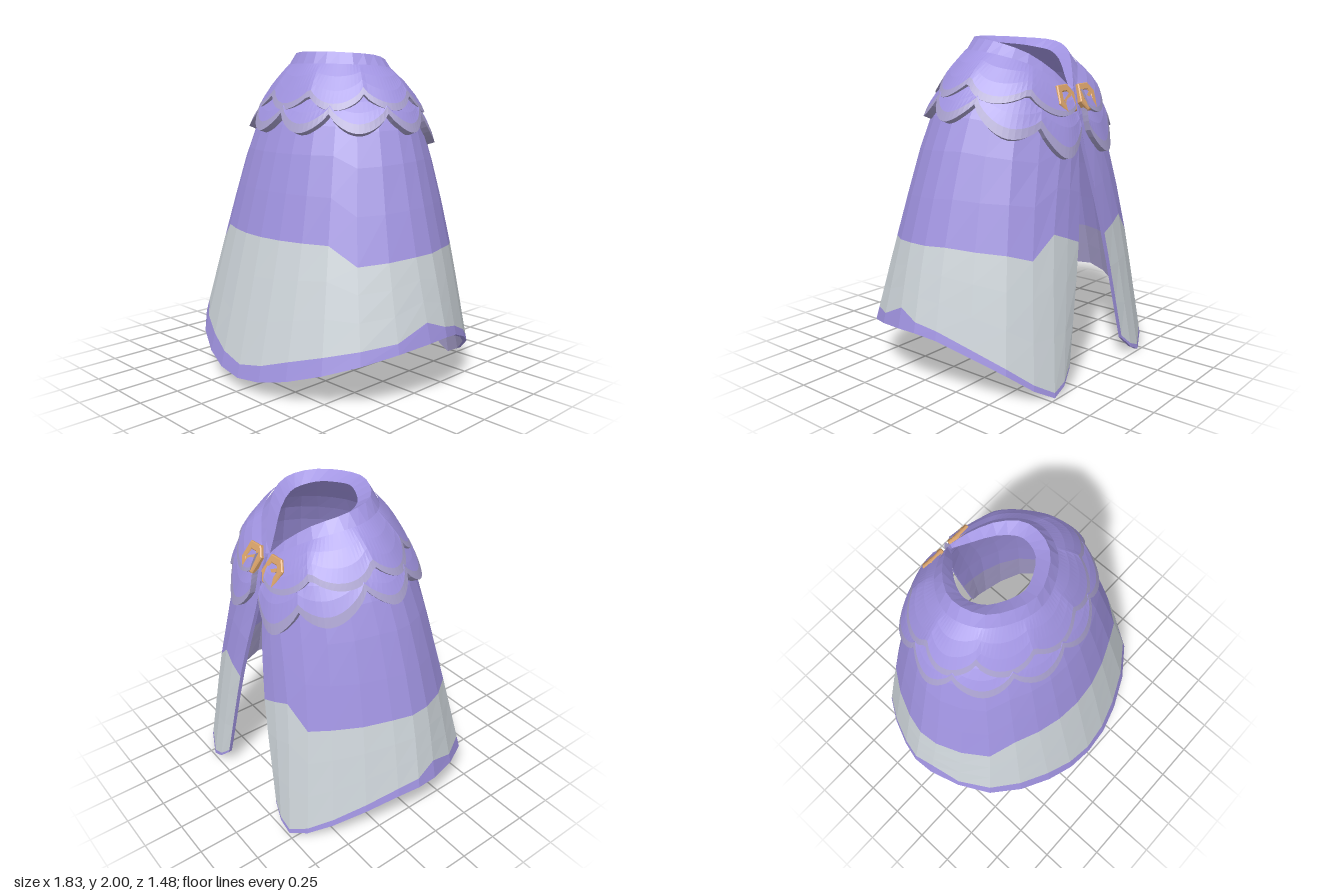
import * as THREE from 'three';

const mat = (name, color) => {
  const m = new THREE.MeshStandardMaterial({ color });
  m.name = name;
  return m;
};

// Half rings from front centre to the back opening: neck, shoulder, chest, waist, hem
const RINGS = [
  [[0, 2, .16], [.13, 1.998, .12], [.25, 1.99, .03], [.3, 1.98, -.1], [.285, 1.955, -.22], [.2, 1.9, -.34], [.09, 1.8, -.44], [.012, 1.7, -.505]],
  [[0, 1.75, .28], [.2, 1.75, .24], [.37, 1.75, .12], [.48, 1.75, -.05], [.46, 1.74, -.22], [.34, 1.7, -.41], [.15, 1.63, -.52], [.012, 1.58, -.545]],
  [[0, 1.45, .405], [.25, 1.45, .36], [.48, 1.45, .22], [.615, 1.45, 0], [.6, 1.45, -.2], [.46, 1.42, -.44], [.2, 1.4, -.575], [.02, 1.42, -.57]],
  [[0, .87, .555], [.31, .87, .5], [.6, .87, .34], [.78, .87, .05], [.765, .87, -.2], [.59, .87, -.5], [.35, .87, -.64], [.13, .87, -.66]],
  [[0, .08, .74], [.36, .14, .67], [.73, .27, .44], [.905, .355, .05], [.88, .34, -.22], [.7, .17, -.58], [.46, 0, -.74], [.29, .12, -.72]],
].map((half) => {
  const left = half.map((p) => new THREE.Vector3(...p));
  const right = left.slice(1).reverse().map((p) => new THREE.Vector3(-p.x, p.y, p.z));
  return new THREE.CatmullRomCurve3([...right, ...left], false, 'catmullrom');
});

// Cloth surface: u -1..1 around, v 0..4 from neck to hem
function surface(u, v) {
  const pts = RINGS.map((c) => c.getPoint((u + 1) / 2));
  return new THREE.CatmullRomCurve3(pts, false, 'catmullrom').getPoint(v / 4);
}

function offset(u, v, d) {
  const c = THREE.MathUtils.clamp, e = .02;
  const du = surface(c(u + e, -1, 1), v).sub(surface(c(u - e, -1, 1), v));
  const dv = surface(u, c(v + e, 0, 4)).sub(surface(u, c(v - e, 0, 4)));
  const p = surface(u, v).addScaledVector(dv.cross(du).normalize(), d);
  if (u && p.x * Math.sign(u) < .004) p.x = .004 * Math.sign(u);
  return p;
}

const inner = (u, v) =>
  offset(u, v, -(.025 + .065 * Math.max(0, 1 - v) * (1 - Math.abs(u) ** 4)));

// v on a column where the cloth reaches height y
function vAt(u, y) {
  let lo = 0, hi = 4;
  for (let i = 0; i < 20; i++) {
    const m = (lo + hi) / 2;
    if (surface(u, m).y > y) lo = m; else hi = m;
  }
  return lo;
}

// Piecewise linear lookup on |u|
function lookup(table, u) {
  const t = Math.abs(u);
  for (let i = 1; i < table.length; i++) {
    const [a, ya] = table[i - 1], [b, yb] = table[i];
    if (t <= b) return ya + (yb - ya) * (t - a) / (b - a);
  }
  return table[table.length - 1][1];
}

// Faceted sheet from rows of points, top row first
function sheet(rows) {
  const n = rows[0].length, pos = [], idx = [];
  rows.forEach((r) => r.forEach((p) => pos.push(p.x, p.y, p.z)));
  for (let j = 0; j < rows.length - 1; j++) {
    for (let i = 0; i < n - 1; i++) {
      const a = j * n + i, b = a + 1, c = a + n, d = c + 1;
      idx.push(a, c, b, b, c, d);
    }
  }
  const g = new THREE.BufferGeometry();
  g.setAttribute('position', new THREE.Float32BufferAttribute(pos, 3));
  g.setIndex(idx);
  const flat = g.toNonIndexed();
  flat.computeVertexNormals();
  return flat;
}

const range = (n, a, b) => Array.from({ length: n + 1 }, (_, i) => a + (b - a) * i / n);

export function createModel() {
  const purple = mat('purple cloth', 0xa093e0);
  const grey = mat('pale grey band', 0xccd3d8);
  const lavender = mat('lavender trim', 0xa79fcc);
  const bronze = mat('bronze', 0xd6a068);

  const model = new THREE.Group();
  model.name = 'cape';
  const add = (name, geo, m, parent = model) => {
    const mesh = new THREE.Mesh(geo, m);
    mesh.name = name;
    parent.add(mesh);
    return mesh;
  };

  // Outer cloth in three colour bands with uneven borders
  const us = range(28, -1, 1);
  const border = [[0, .91], [.214, .91], [.286, .8], [.43, .84], [.57, .85], [.71, .82], [.786, .78], [.857, .91], [1, .83]];
  const hemHeight = [[0, .08], [.143, .11], [.18, .13], [.214, .1], [.357, .06], [.43, .12], [.5, .06], [.7, .04], [1, .02]];
  const vBand = us.map((u) => vAt(u, lookup(border, u)));
  const vHem = us.map((u) => vAt(u, surface(u, 4).y + lookup(hemHeight, u)));
  const band = (from, to, n) =>
    sheet(range(n, 0, 1).map((t) => us.map((u, i) => surface(u, from(i) + (to(i) - from(i)) * t))));
  add('upperCloth', band(() => 0, (i) => vBand[i], 7), purple);
  add('greyBand', band((i) => vBand[i], (i) => vHem[i], 3), grey);
  add('hemTrim', band((i) => vHem[i], () => 4, 1), purple);

  // Lining, facing inwards
  const back = [...us].reverse();
  const lining = (a, b, n) => sheet(range(n, a, b).map((v) => back.map((u) => inner(u, v))));
  add('upperLining', lining(0, 3.4, 8), purple);
  add('lowerLining', lining(3.4, 4, 2), lavender);

  // Rims closing the cloth thickness
  add('neckRim', sheet([us.map((u) => inner(u, 0)), us.map((u) => surface(u, 0))]), purple);
  add('hemRim', sheet([us.map((u) => surface(u, 4)), us.map((u) => inner(u, 4))]), purple);
  const vs = range(16, 0, 4);
  add('leftOpeningEdge', sheet(vs.map((v) => [surface(1, v), inner(1, v)])), purple);
  add('rightOpeningEdge', sheet(vs.map((v) => [inner(-1, v), surface(-1, v)])), purple);

  // Two overlapping scalloped collar layers
  function scallops(name, vTop, hem, end, lift) {
    const cols = range(120, -end, end);
    const row = (f, d) => cols.map((u) => offset(u, f(u), d));
    const trim = (u) => hem(u) - .15;
    const mix = (t) => (u) => vTop + (trim(u) - vTop) * t;
    const g = new THREE.Group();
    g.name = name;
    model.add(g);
    add('scallopCloth', sheet([row(mix(0), .003), row(mix(.35), lift * .5), row(mix(.7), lift * .8), row(trim, lift)]), purple, g);
    add('scallopTrim', sheet([row(trim, lift), row(hem, lift)]), lavender, g);
    add('scallopRim', sheet([row(hem, lift), row(hem, -.01)]), lavender, g);
    // Small end caps
    for (const s of [-1, 1]) {
      const u = s * end;
      const rows = range(4, vTop, hem(u)).map((v, k) => {
        const pair = [offset(u, v, k ? lift : .003), offset(u, v, -.01)];
        return s > 0 ? pair : pair.reverse();
      });
      add('scallopEnd', sheet(rows), lavender, g);
    }
  }
  const dip = (u) => THREE.MathUtils.smoothstep(Math.abs(u), .55, .9);
  scallops('lowerCollar', .95,
    (u) => 1.5 + .34 * Math.abs(Math.sin(Math.PI * 5 * u / .97)) ** .75 + .38 * dip(u), .97, .042);
  scallops('upperCollar', .3,
    (u) => 1.07 + .36 * Math.abs(Math.cos(Math.PI * 4.5 * u / .94)) ** .75 + .05 * dip(u), .94, .04);

  // Pair of six-sided clasps with a raised frame and slanted bar
  const hexagon = (Type, s) => {
    const pts = [[-.085, -.03], [-.045, -.085], [.05, -.08], [.085, .03], [.045, .085], [-.05, .08]];
    return new Type(pts.map(([x, y]) => new THREE.Vector2(x * s, y * s)));
  };
  const bevel = { bevelEnabled: true, bevelSize: .006, bevelThickness: .006, bevelSegments: 1 };
  const plate = new THREE.ExtrudeGeometry(hexagon(THREE.Shape, .95), { depth: .022, bevelEnabled: false });
  const frameShape = hexagon(THREE.Shape, .95);
  frameShape.holes.push(hexagon(THREE.Path, .55));
  const frame = new THREE.ExtrudeGeometry(frameShape, { depth: .03, ...bevel });
  for (const s of [-1, 1]) {
    const clasp = new THREE.Group();
    clasp.name = s > 0 ? 'leftClasp' : 'rightClasp';
    clasp.position.set(s * .105, 1.637, -.515);
    clasp.lookAt(s * .105, 1.637 + .45, -.515 - .9);
    add('claspPlate', plate, bronze, clasp);
    add('claspFrame', frame, bronze, clasp);
    const bar = add('claspBar', new THREE.BoxGeometry(.09, .02, .03), bronze, clasp);
    bar.position.z = .022;
    bar.rotation.z = .5;
    model.add(clasp);
  }
  return model;
}
